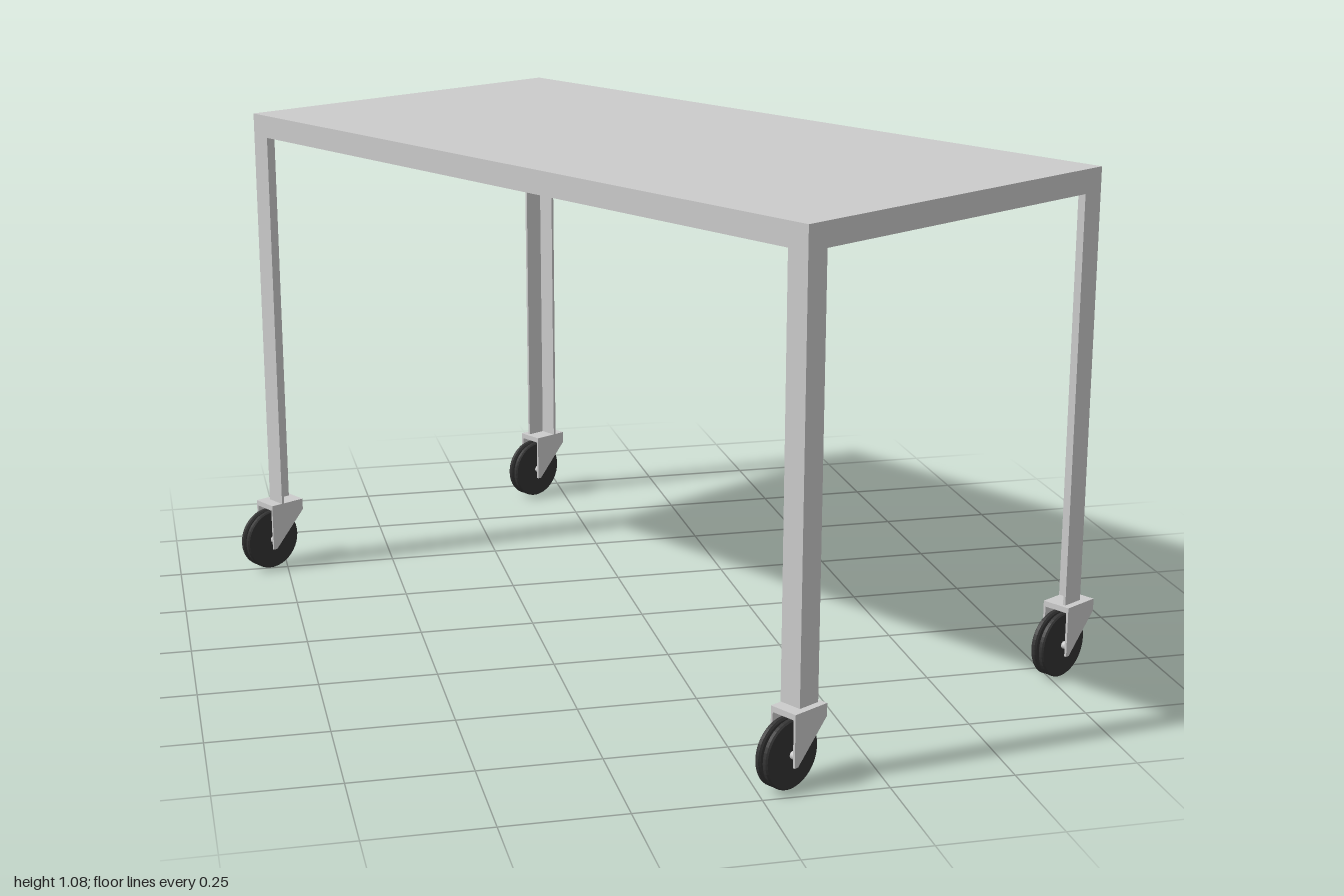
import * as THREE from 'three';

const W = 0.855, L = 1.73, TOP = 1.08, APRON = 0.05, LEG = 0.05, T = 0.006, FOOT = 0.158;

const steel = new THREE.MeshStandardMaterial({ color: 0xcccccc });
const rubber = new THREE.MeshStandardMaterial({ color: 0x333333 });

function add(parent, name, geometry, material, x = 0, y = 0, z = 0) {
  const mesh = new THREE.Mesh(geometry, material);
  mesh.name = name;
  mesh.position.set(x, y, z);
  parent.add(mesh);
  return mesh;
}

const box = (w, h, d) => new THREE.BoxGeometry(w, h, d);
const polygon = (points) => new THREE.Shape(points.map(([x, y]) => new THREE.Vector2(x, y)));

// Angle-iron leg, its outer corner on the y axis
function legGeometry() {
  const shape = polygon([[0, 0], [LEG, 0], [LEG, T], [T, T], [T, LEG], [0, LEG]]);
  return new THREE.ExtrudeGeometry(shape, { depth: TOP - APRON - FOOT, bevelEnabled: false }).rotateX(-Math.PI / 2);
}

// Wheel with a grooved tread, axle along z
function wheelGeometry() {
  const profile = [[0, -0.016], [0.067, -0.016], [0.07, -0.013], [0.07, -0.006], [0.066, -0.003], [0.056, -0.003],
    [0.056, 0.003], [0.066, 0.003], [0.07, 0.006], [0.07, 0.013], [0.067, 0.016], [0, 0.016]];
  const geometry = new THREE.LatheGeometry(profile.map(([r, y]) => new THREE.Vector2(r, y)), 40);
  const flat = geometry.toNonIndexed();
  flat.computeVertexNormals();
  return flat.rotateX(Math.PI / 2);
}

// Caster: mounting plate, two triangular cheeks, and the wheel trailing towards -x
function caster() {
  const group = new THREE.Group();
  group.name = 'caster';
  const axleX = -0.0325, axleY = 0.07;
  add(group, 'mountingPlate', box(0.086, 0.012, 0.064), steel, 0, FOOT - 0.006, 0);

  const cheek = new THREE.ExtrudeGeometry(
    polygon([[-0.043, 0.05], [-0.034, 0.05], [0.043, 0.132], [0.043, 0.146], [-0.043, 0.146]]),
    { depth: 0.005, bevelEnabled: false });
  add(group, 'forkCheek', cheek, steel, 0, 0, 0.027);
  add(group, 'forkCheek', cheek, steel, 0, 0, -0.032);

  const axle = new THREE.CylinderGeometry(0.008, 0.008, 0.056, 16).rotateX(Math.PI / 2);
  add(group, 'axle', axle, steel, axleX, axleY, 0);
  add(group, 'wheel', wheelGeometry(), rubber, axleX, axleY, 0);
  return group;
}

export function createModel() {
  const model = new THREE.Group();
  model.name = 'rollingTable';
  const table = new THREE.Group();
  table.name = 'table';
  table.rotation.y = Math.PI / 6;
  table.position.set(0.02, 0, -0.005);
  model.add(table);

  // Thin top with a hollow rim of rails below it
  add(table, 'tabletop', box(W, T, L), steel, 0, TOP - T / 2, 0);
  const railH = APRON - T, railY = TOP - T - railH / 2;
  for (const s of [-1, 1]) {
    add(table, 'sideRail', box(T, railH, L), steel, s * (W - T) / 2, railY, 0);
    add(table, 'endRail', box(W - 2 * T, railH, T), steel, 0, railY, s * (L - T) / 2);
  }

  // Legs and casters, going round the corners a quarter turn at a time
  const legGeo = legGeometry();
  [[-1, 1], [1, 1], [1, -1], [-1, -1]].forEach(([sx, sz], k) => {
    const leg = add(table, 'leg', legGeo, steel, sx * W / 2, FOOT, sz * L / 2);
    leg.rotation.y = k * Math.PI / 2;
    const c = caster();
    c.position.set(sx * (W / 2 - 0.016), 0, sz * (L / 2 - 0.017));
    table.add(c);
  });
  return model;
}
